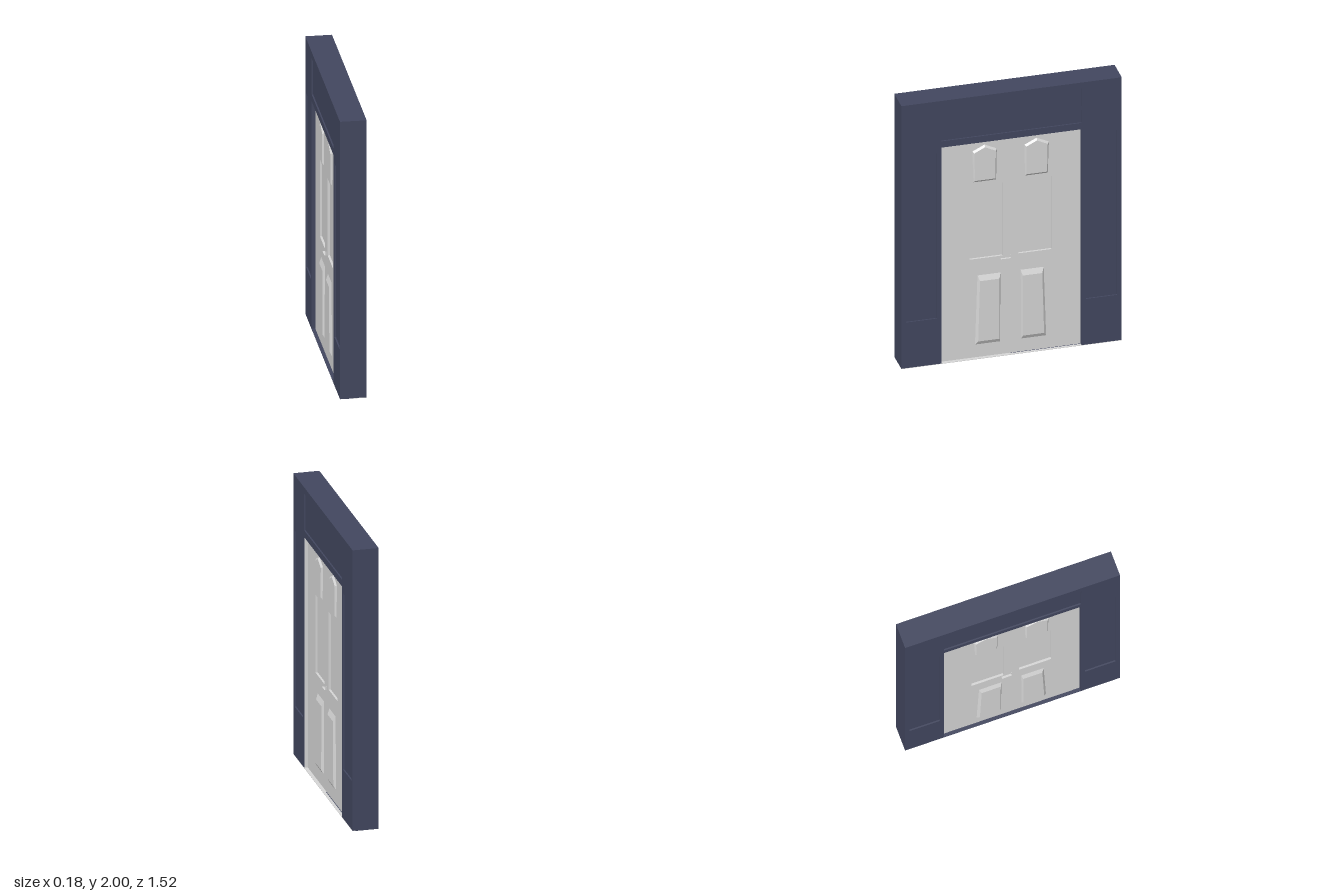
import * as THREE from 'three';

const navy = new THREE.MeshStandardMaterial({ color: 0x42475f, name: 'navy' });
const pale = new THREE.MeshStandardMaterial({ color: 0xd6d6d6, name: 'pale grey' });

const pts = (list) => list.map(([x, y]) => new THREE.Vector2(x, y));
const mirror = (list) => list.map(([x, y]) => [-x, y]).reverse();
const rect = (x0, x1, y0, y1) => [[x0, y0], [x1, y0], [x1, y1], [x0, y1]];

// Flat slab with holes, between two depths
function slab(outline, holes, z0, z1) {
  const shape = new THREE.Shape(pts(outline));
  for (const h of holes) shape.holes.push(new THREE.Path(pts(h)));
  const g = new THREE.ExtrudeGeometry(shape, { depth: z1 - z0, bevelEnabled: false });
  return g.translate(0, 0, z0);
}

// Raised panel: sloping sides from an outer outline to an inner one
function raised(outer, inner, z0, z1) {
  const p = [];
  const n = outer.length;
  for (let i = 0; i < n; i++) {
    const j = (i + 1) % n;
    const a = [...outer[i], z0], b = [...outer[j], z0];
    const c = [...inner[j], z1], d = [...inner[i], z1];
    p.push(...a, ...b, ...c, ...a, ...c, ...d);
  }
  for (let i = 1; i < n - 1; i++) {
    p.push(...inner[0], z1, ...inner[i], z1, ...inner[i + 1], z1);
  }
  const g = new THREE.BufferGeometry();
  g.setAttribute('position', new THREE.Float32BufferAttribute(p, 3));
  g.computeVertexNormals();
  return g;
}

function add(parent, name, geometry, material) {
  const m = new THREE.Mesh(geometry, material);
  m.name = name;
  parent.add(m);
  return m;
}

function box(parent, name, material, [x0, x1], [y0, y1], [z0, z1]) {
  const g = new THREE.BoxGeometry(x1 - x0, y1 - y0, z1 - z0);
  g.translate((x0 + x1) / 2, (y0 + y1) / 2, (z0 + z1) / 2);
  return add(parent, name, g, material);
}

const BASE = 0.003;
const W = 0.762, DOOR = 0.485, HEAD = 1.645;
const FACE = 0.09, FRAME_CORE = 0.08;
const DOOR_FACE = 0.065, DOOR_CORE = 0.05;

const frameOutline = [
  [-W, BASE], [-DOOR, BASE], [-DOOR, HEAD], [DOOR, HEAD],
  [DOOR, BASE], [W, BASE], [W, 2], [-W, 2],
];
const sidePanel = rect(0.515, 0.73, 0.35, 1.605);
const headPanel = [[-0.485, 1.693], [0.483, 1.693], [0.488, 1.953], [-0.49, 1.953]];
const middlePanel = rect(0.055, 0.283, 0.75, 1.305);

// Right-hand raised panels, outer and inner outlines
const upperOuter = [[0.1, 1.335], [0.257, 1.335], [0.265, 1.57], [0.18, 1.612], [0.095, 1.57]];
const upperInner = [[0.108, 1.35], [0.249, 1.35], [0.254, 1.56], [0.18, 1.597], [0.105, 1.56]];
const lowerOuter = [[0.073, 0.1], [0.246, 0.1], [0.229, 0.623], [0.07, 0.623]];
const lowerInner = [[0.082, 0.128], [0.228, 0.128], [0.215, 0.585], [0.08, 0.585]];

// Everything on one face of the door set
function makeSide(name) {
  const side = new THREE.Group();
  side.name = name;
  add(side, 'frameFace',
    slab(frameOutline, [sidePanel, mirror(sidePanel), headPanel], FRAME_CORE, FACE), navy);
  add(side, 'doorFace',
    slab(rect(-DOOR, DOOR, BASE, HEAD), [middlePanel, mirror(middlePanel)], DOOR_CORE, DOOR_FACE), pale);
  for (const flip of [(o) => o, mirror]) {
    add(side, 'upperPanel', raised(flip(upperOuter), flip(upperInner), DOOR_FACE, DOOR_FACE + 0.012), pale);
    add(side, 'lowerPanel', raised(flip(lowerOuter), flip(lowerInner), DOOR_FACE, DOOR_FACE + 0.015), pale);
  }
  // Thin latch plate
  box(side, 'latchPlate', pale, [-0.07, 0], [0.728, 0.73], [DOOR_FACE, DOOR_FACE + 0.015]);
  box(side, 'latchLip', pale, [-0.002, 0], [0.73, 0.755], [DOOR_FACE, DOOR_FACE + 0.01]);
  return side;
}

export function createModel() {
  const model = new THREE.Group();
  model.name = 'doorway';

  // Cores of the frame and the door
  const core = new THREE.Group();
  core.name = 'core';
  core.rotation.y = Math.PI / 2;
  add(core, 'frameCore', slab(frameOutline, [], -FRAME_CORE, FRAME_CORE), navy);
  add(core, 'doorCore', slab(rect(-DOOR, DOOR, BASE, HEAD), [], -DOOR_CORE, DOOR_CORE), pale);
  model.add(core);

  // Matching faces on both sides
  for (const [name, s] of [['outerSide', 1], ['innerSide', -1]]) {
    const side = makeSide(name);
    side.rotation.y = s * Math.PI / 2;
    model.add(side);
  }

  // Threshold in two colours
  box(model, 'paleThreshold', pale, [0, FACE], [0, BASE], [0, W]);
  box(model, 'paleThresholdEdge', pale, [0.07, FACE], [0, BASE], [-W, 0]);
  box(model, 'darkThreshold', navy, [-FACE, 0], [0, BASE], [-W, W]);
  box(model, 'darkThresholdEnd', navy, [0, 0.07], [0, BASE], [-W, 0]);

  // Pale lining on one jamb
  box(model, 'jambLining', pale, [DOOR_FACE, FACE - 0.002], [BASE, HEAD], [DOOR - 0.002, DOOR]);
  return model;
}
